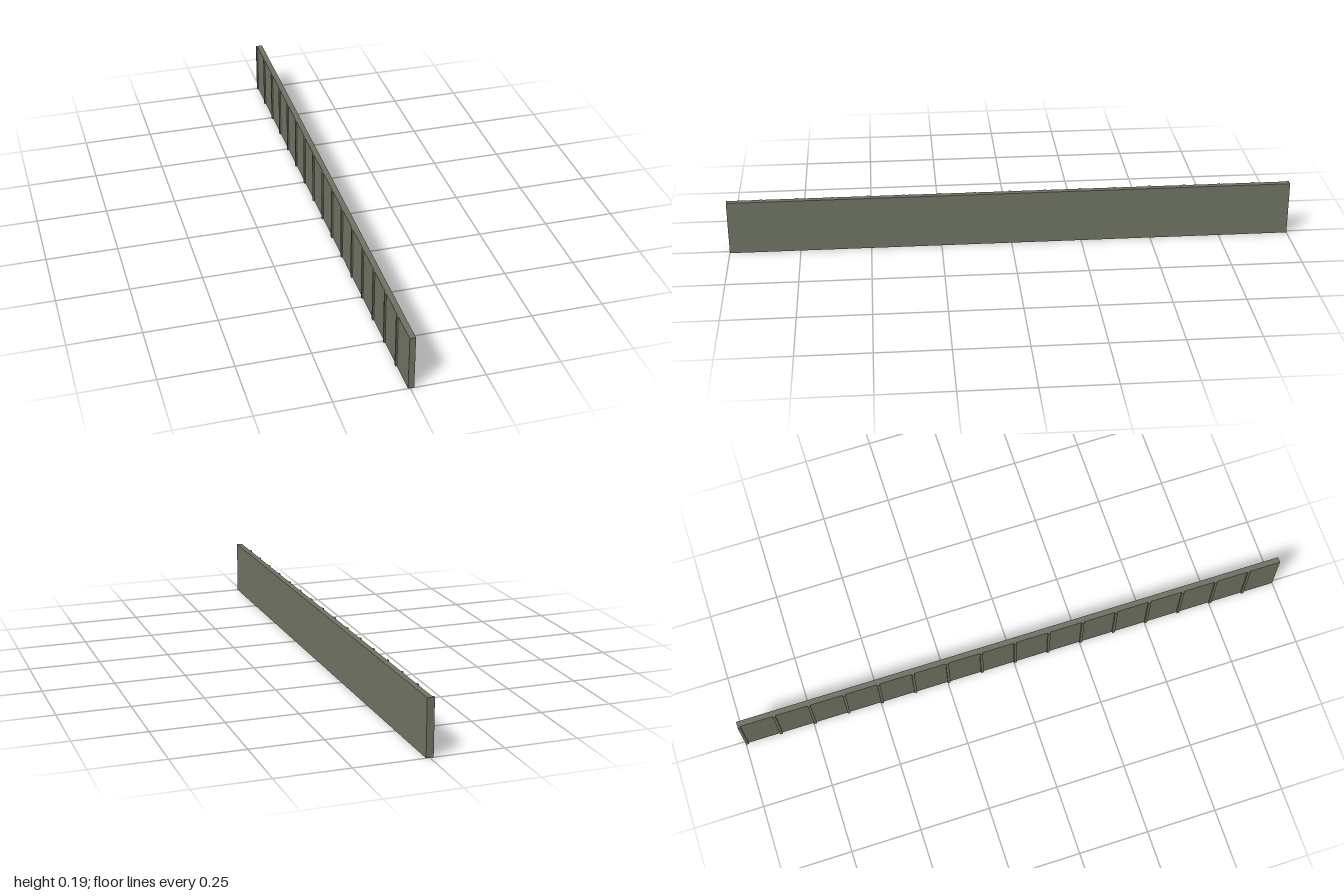
import * as THREE from 'three';

export function createModel() {
  const group = new THREE.Group();
  const paint = new THREE.MeshStandardMaterial({ color: 0x6e7261 });
  paint.name = 'olive grey';

  const height = 0.194, length = 2;
  const back = -0.0125, face = -0.0075, front = 0.0125;

  // Box given by its x and z limits, standing on the ground
  const addBox = (name, x0, x1, z0, z1) => {
    const mesh = new THREE.Mesh(new THREE.BoxGeometry(x1 - x0, height, z1 - z0), paint);
    mesh.position.set((x0 + x1) / 2, height / 2, (z0 + z1) / 2);
    mesh.name = name;
    group.add(mesh);
  };

  // Long flat wall panel
  addBox('panel', face, front, -length / 2, length / 2);

  // Evenly spaced upright ribs on one side, the first flush with the back end
  const ribs = 16, ribWidth = 0.01;
  for (let i = 0; i < ribs; i++) {
    const z = -length / 2 + (i * length) / ribs;
    addBox(`rib${i + 1}`, back, face, z, z + ribWidth);
  }
  return group;
}
